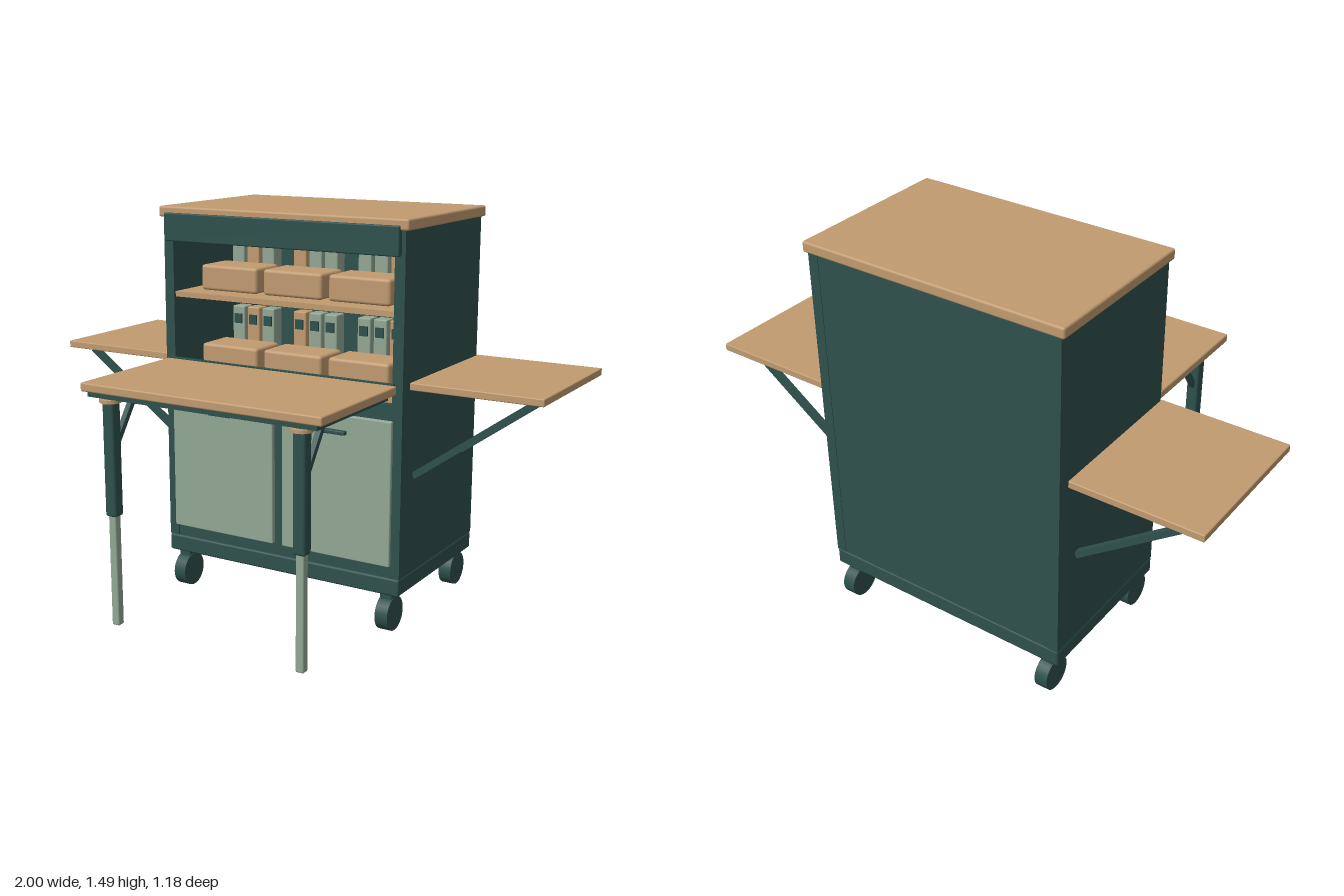
import * as THREE from 'three';
import { RoundedBoxGeometry } from 'three/addons/geometries/RoundedBoxGeometry.js';

const mat = (name, color) => {
  const m = new THREE.MeshStandardMaterial({ color });
  m.name = name;
  return m;
};

export function createModel() {
  const green = mat('dark green', 0x2e504c);
  const wood = mat('wood', 0xc19b70);
  const sage = mat('sage', 0x92a794);
  const root = new THREE.Group();
  root.name = 'workCart';

  const add = (name, geometry, material, parent = root) => {
    const mesh = new THREE.Mesh(geometry, material);
    mesh.name = name;
    parent.add(mesh);
    return mesh;
  };
  // Box given by its extents on each axis; r rounds the edges
  const box = (name, [x0, x1], [y0, y1], [z0, z1], material, r = 0) => {
    const size = [x1 - x0, y1 - y0, z1 - z0];
    const g = r ? new RoundedBoxGeometry(...size, 2, r) : new THREE.BoxGeometry(...size);
    const mesh = add(name, g, material);
    mesh.position.set((x0 + x1) / 2, (y0 + y1) / 2, (z0 + z1) / 2);
    return mesh;
  };
  const around = (c, w) => [c - w / 2, c + w / 2];
  // Square bar between two points
  const bar = (name, a, b, w, material) => {
    const from = new THREE.Vector3(...a), to = new THREE.Vector3(...b);
    const mesh = add(name, new THREE.BoxGeometry(w, w, from.distanceTo(to)), material);
    mesh.position.copy(from).add(to).multiplyScalar(0.5);
    mesh.lookAt(to);
    return mesh;
  };

  // Cabinet shell, open at the upper front
  box('plinth', [-0.5, 0.5], [0.145, 0.21], [-0.57, 0.063], green, 0.008);
  box('lowerCabinet', [-0.46, 0.46], [0.21, 0.845], [-0.55, 0.055], green);
  box('backPanel', [-0.46, 0.46], [0.21, 1.447], [-0.568, -0.54], green);
  box('header', [-0.485, 0.485], [1.36, 1.464], [0.055, 0.082], green, 0.005);
  box('ceiling', [-0.46, 0.46], [1.42, 1.447], [-0.55, 0.055], green);
  box('topBoard', [-0.515, 0.515], [1.447, 1.487], [-0.58, 0.072], wood, 0.008);
  for (const s of [-1, 1]) {
    box('sidePanel', around(s * 0.48, 0.04), [0.21, 1.447], [-0.57, 0.06], green);
    box('door', around(s * 0.243, 0.445), [0.255, 0.787], [0.05, 0.073], sage, 0.004);
    box('doorHandle', around(s * 0.243, 0.097), [0.72, 0.735], [0.073, 0.095], green, 0.004);
  }

  // Shelves with three bins each, and three jars behind every bin
  const woodJar = [1, 0, 2];
  for (const top of [0.87, 1.17]) {
    box('shelf', [-0.46, 0.46], [top - 0.02, top], [-0.54, 0.05], wood);
    [-0.275, 0, 0.275].forEach((x, i) => {
      box('bin', around(x, 0.247), [top, top + 0.096], [-0.19, -0.03], wood, 0.012);
      for (let j = 0; j < 3; j++) {
        const jx = x + (j - 1) * 0.067;
        box('jar', around(jx, 0.054), [top, top + 0.22], [-0.26, -0.2], woodJar[i] === j ? wood : sage, 0.005);
        box('jarLabel', around(jx, 0.034), [top + 0.153, top + 0.19], [-0.2, -0.194], green);
      }
    });
  }

  // Front fold-out table with telescopic legs
  box('frontTable', [-0.483, 0.483], [0.886, 0.918], [0.072, 0.59], wood, 0.006);
  box('frontTableFrame', [-0.46, 0.46], [0.868, 0.886], [0.09, 0.578], green);
  box('frontTableHinge', [-0.47, 0.47], [0.882, 0.922], [0.06, 0.076], green);
  for (const s of [-1, 1]) {
    const x = s * 0.386;
    const pad = add('legPad', new THREE.CylinderGeometry(0.039, 0.039, 0.012, 20), wood);
    pad.position.set(x, 0.857, 0.545);
    box('legSocket', around(x, 0.04), [0.855, 0.87], around(0.543, 0.04), green);
    box('legSleeve', around(x, 0.047), [0.437, 0.86], around(0.543, 0.047), green, 0.009);
    box('legInner', around(x, 0.031), [0.025, 0.45], around(0.543, 0.031), sage, 0.005);
    bar('legBrace', [x, 0.872, 0.4], [x, 0.69, 0.527], 0.02, green);
  }

  // Side wings with braces
  for (const s of [-1, 1]) {
    box('sideTable', around(s * 0.7575, 0.485), [0.9, 0.927], [-0.547, 0.038], wood, 0.004);
    for (const z of [-0.045, -0.46]) {
      bar('sideBrace', [s * 0.5, 0.573, z], [s * 0.94, 0.888, z], 0.024, green);
    }
  }

  // Casters
  for (const x of [-0.443, 0.443]) {
    for (const z of [0.02, -0.525]) {
      const wheel = add('wheel', new THREE.CylinderGeometry(0.064, 0.064, 0.05, 28), green);
      wheel.rotation.z = Math.PI / 2;
      wheel.position.set(x, 0.064, z);
      box('casterMount', around(x, 0.045), [0.09, 0.15], around(z, 0.052), green);
    }
  }
  return root;
}
